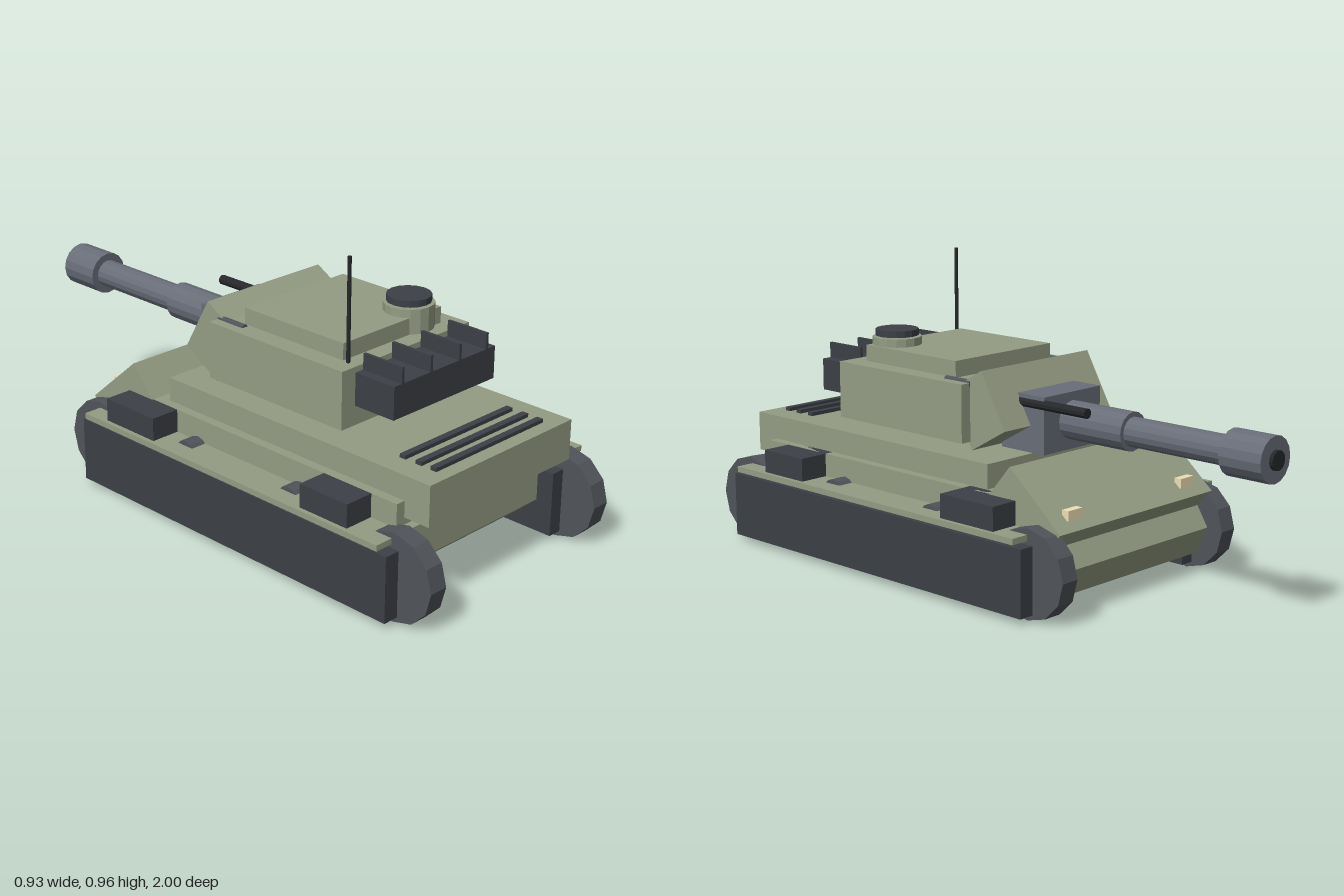
import * as THREE from 'three';

const material = (color) => new THREE.MeshStandardMaterial({ color, flatShading: true });

export function createModel() {
  const model = new THREE.Group();
  const olive = material(0x949c83), dark = material(0x3c4046), steel = material(0x50545a);
  const gunGrey = material(0x686d78), black = material(0x25272a), cream = material(0xeedfb4);

  const add = (name, geometry, mat, x = 0, y = 0, z = 0) => {
    const mesh = new THREE.Mesh(geometry, mat);
    mesh.name = name;
    mesh.position.set(x, y, z);
    model.add(mesh);
    return mesh;
  };
  // box given by its limits on each axis
  const box = (name, mat, [x0, x1], [y0, y1], [z0, z1]) =>
    add(name, new THREE.BoxGeometry(x1 - x0, y1 - y0, z1 - z0), mat,
      (x0 + x1) / 2, (y0 + y1) / 2, (z0 + z1) / 2);
  // box limits mirrored to both sides
  const boxPair = (name, mat, [x0, x1], y, z) => {
    box(name + 'Left', mat, [x0, x1], y, z);
    box(name + 'Right', mat, [-x1, -x0], y, z);
  };
  // wheel with its axle along x, a vertex or a flat at the bottom
  const wheelPair = (name, mat, r, [x0, x1], y, z, turn = 0) => {
    for (const side of [1, -1]) {
      const g = new THREE.CylinderGeometry(r, r, x1 - x0, 12).rotateY(turn).rotateZ(Math.PI / 2);
      add(name + (side > 0 ? 'Left' : 'Right'), g, mat, side * (x0 + x1) / 2, y, z);
    }
  };
  // cylinder along z
  const rod = (name, mat, r, x, y, [z0, z1], sides = 16) =>
    add(name, new THREE.CylinderGeometry(r, r, z1 - z0, sides).rotateX(Math.PI / 2), mat, x, y, (z0 + z1) / 2);

  // lower hull: side profile as (z, y), extruded across the width
  const profile = new THREE.Shape([
    [0.82, 0.335], [-0.3, 0.335], [-0.42, 0.26], [-0.492, 0.145],
    [-0.45, 0.055], [0.74, 0.055], [0.82, 0.125],
  ].map(([z, y]) => new THREE.Vector2(z, y)));
  const hull = new THREE.ExtrudeGeometry(profile, { depth: 0.7, bevelEnabled: false });
  hull.translate(0, 0, -0.35).rotateY(-Math.PI / 2);
  add('lowerHull', hull, olive);

  // upper hull, sloped nose plate and engine grille
  box('upperHull', olive, [-0.318, 0.318], [0.283, 0.413], [-0.166, 0.912]);
  add('nosePlate', new THREE.BoxGeometry(0.71, 0.14, 0.264), olive, 0, 0.295, -0.349).rotation.x = -0.707;
  for (const z of [0.74, 0.8, 0.855]) {
    box('grilleBar', dark, [-0.24, 0.24], [0.408, 0.425], [z - 0.011, z + 0.011]);
  }
  boxPair('headlight', cream, [0.23, 0.292], [0.288, 0.319], [-0.47, -0.444]);

  // fenders and stowage bins
  boxPair('fender', olive, [0.28, 0.465], [0.241, 0.26], [-0.41, 0.85]);
  boxPair('rearBin', dark, [0.32, 0.45], [0.258, 0.335], [0.537, 0.723]);
  boxPair('frontBin', dark, [0.32, 0.45], [0.258, 0.335], [-0.317, -0.097]);

  // tracks and wheels
  boxPair('track', dark, [0.292, 0.455], [0.02, 0.23], [-0.432, 0.877]);
  wheelPair('driveWheel', steel, 0.14, [0.34, 0.403], 0.14, 0.86);
  wheelPair('idlerWheel', steel, 0.14, [0.34, 0.403], 0.14, -0.41);
  for (let i = 0; i < 6; i++) {
    wheelPair('roadWheel', steel, 0.112, [0.34, 0.403], 0.113, 0.75 - i * 0.215, Math.PI / 12);
  }
  for (const z of [-0.003, 0.443]) wheelPair('returnRoller', steel, 0.045, [0.35, 0.403], 0.23, z);

  // turret
  box('turretBody', olive, [-0.28, 0.28], [0.446, 0.63], [-0.02, 0.538]);
  box('turretRoof', olive, [-0.215, 0.215], [0.62, 0.683], [0.07, 0.48]);
  add('turretFrontPlate', new THREE.BoxGeometry(0.486, 0.2, 0.16), olive, 0, 0.547, -0.047).rotation.x = 0.52;
  for (const x of [-0.235, 0.235]) rod('grabRail', steel, 0.013, x, 0.626, [-0.02, 0.09], 8);
  add('cupola', new THREE.CylinderGeometry(0.08, 0.08, 0.09, 16), olive, 0.13, 0.664, 0.425);
  add('cupolaHatch', new THREE.CylinderGeometry(0.07, 0.07, 0.021, 16), dark, 0.13, 0.723, 0.425);
  add('antenna', new THREE.CylinderGeometry(0.006, 0.006, 0.325, 8), black, -0.217, 0.793, 0.502);

  // rear turret rack with upright dividers
  box('turretBin', dark, [-0.224, 0.222], [0.508, 0.612], [0.535, 0.688]);
  for (const x of [-0.187, -0.064, 0.063, 0.185]) {
    box('binDivider', dark, [x - 0.005, x + 0.005], [0.61, 0.663], [0.538, 0.688]);
  }

  // main gun
  box('mantlet', gunGrey, [-0.128, 0.128], [0.416, 0.596], [-0.222, -0.045]);
  rod('gunSleeve', gunGrey, 0.061, 0, 0.508, [-0.467, -0.2]);
  rod('gunBarrel', gunGrey, 0.046, 0, 0.508, [-0.86, -0.4]);
  rod('muzzleBrake', gunGrey, 0.071, 0, 0.508, [-0.988, -0.84]);
  rod('bore', black, 0.03, 0, 0.508, [-1, -0.95]);
  rod('machineGun', black, 0.016, 0.12, 0.57, [-0.39, -0.1], 10);

  return model;
}
